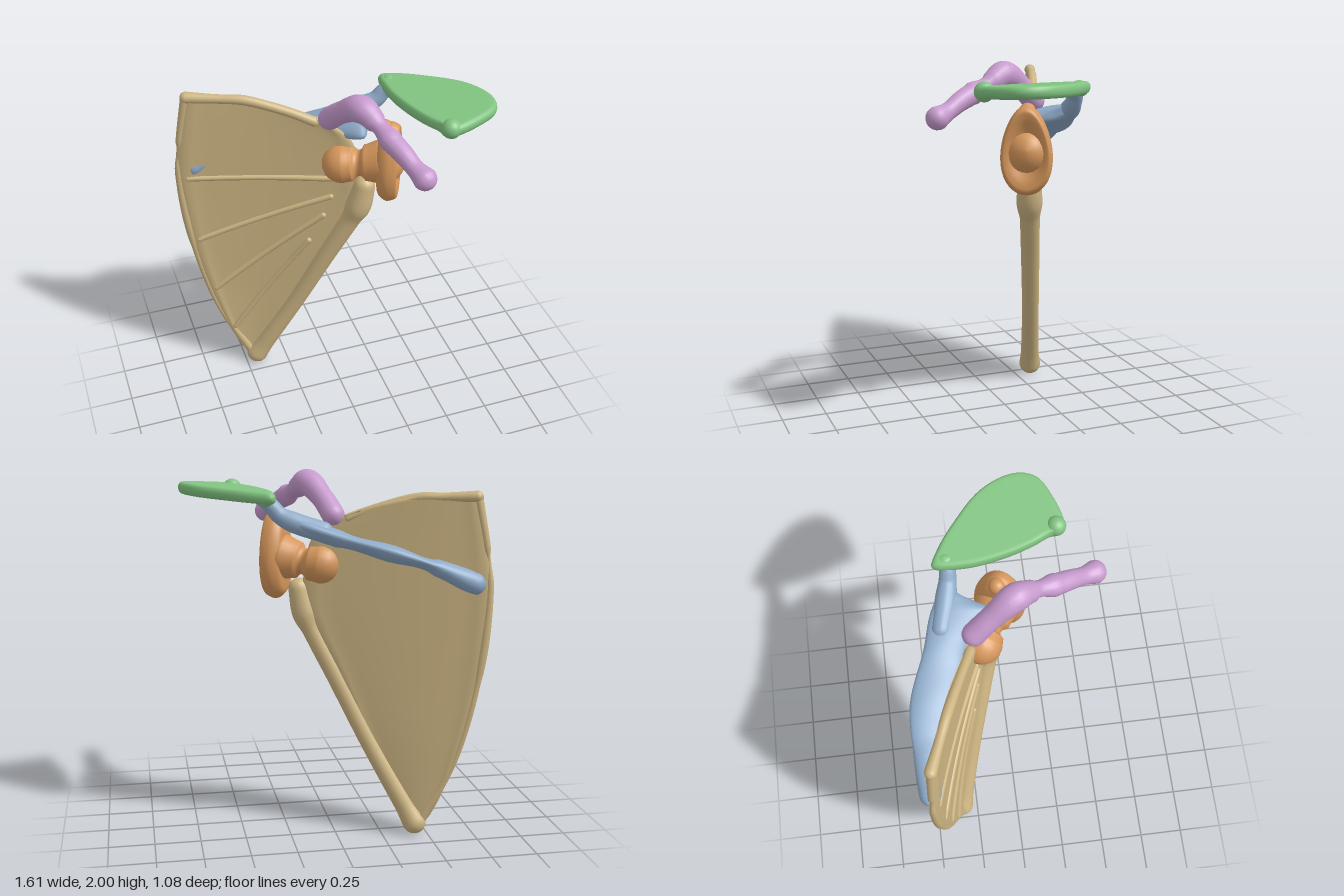
import * as THREE from 'three';

const V = (x, y, z) => new THREE.Vector3(x, y, z);
const curve = (pts, closed = false) =>
  new THREE.CatmullRomCurve3(pts.map(p => V(p[0], p[1], p[2])), closed, 'centripetal');
const TAU = Math.PI * 2;

const mats = {};
for (const [k, color] of Object.entries({ bone: 0xcdb583, spine: 0x8fabc9, socket: 0xd6975c, hook: 0xc79bce, plate: 0x82c482 }))
  mats[k] = new THREE.MeshStandardMaterial({ color });

// Skin over closed rings of equal length, capped at both ends, facing outwards.
function loft(rings) {
  const n = rings[0].length, pos = [], idx = [];
  rings.forEach(r => r.forEach(p => pos.push(p.x, p.y, p.z)));
  const at = (i, j) => i * n + (j % n);
  for (let i = 0; i < rings.length - 1; i++)
    for (let j = 0; j < n; j++)
      idx.push(at(i, j), at(i + 1, j), at(i, j + 1), at(i, j + 1), at(i + 1, j), at(i + 1, j + 1));
  for (const i of [0, rings.length - 1]) {
    const c = rings[i].reduce((s, p) => s.add(p), V(0, 0, 0)).divideScalar(n);
    const k = pos.push(c.x, c.y, c.z) / 3 - 1;
    for (let j = 0; j < n; j++) i ? idx.push(k, at(i, j + 1), at(i, j)) : idx.push(k, at(i, j), at(i, j + 1));
  }
  const p = k => V(pos[3 * k], pos[3 * k + 1], pos[3 * k + 2]);
  let volume = 0;
  for (let i = 0; i < idx.length; i += 3) volume += p(idx[i]).dot(p(idx[i + 1]).cross(p(idx[i + 2])));
  if (volume < 0) idx.reverse();
  const g = new THREE.BufferGeometry();
  g.setAttribute('position', new THREE.Float32BufferAttribute(pos, 3));
  g.setIndex(idx);
  g.computeVertexNormals();
  return g;
}

// Rod along points [x, y, z, radius] with rounded ends.
function rod(pts, steps = 40, sides = 20) {
  const path = curve(pts), radii = curve(pts.map(p => [p[3], 0, 0]));
  const samples = [], cap = 6;
  const end = (u, sign) => {
    const c = path.getPoint(u), t = path.getTangent(u), r = radii.getPoint(u).x;
    for (let k = 1; k <= cap; k++) {
      const a = (k / cap) * Math.PI / 2 * 0.98;
      const s = { c: c.clone().addScaledVector(t, sign * r * Math.sin(a)), t, r: r * Math.cos(a) };
      sign < 0 ? samples.unshift(s) : samples.push(s);
    }
  };
  for (let i = 0; i <= steps; i++) {
    const u = i / steps;
    samples.push({ c: path.getPoint(u), t: path.getTangent(u), r: Math.max(radii.getPoint(u).x, 0.005) });
  }
  end(0, -1);
  end(1, 1);
  let side = V(0.31, 0.2, 0.93);
  return loft(samples.map(({ c, t, r }) => {
    side = side.clone().addScaledVector(t, -side.dot(t)).normalize();
    const up = t.clone().cross(side);
    return Array.from({ length: sides }, (_, j) => {
      const a = j / sides * TAU;
      return c.clone().addScaledVector(side, r * Math.cos(a)).addScaledVector(up, r * Math.sin(a));
    });
  }));
}

const planeZ = x => -0.17 + 0.385 * x;

// Thin triangular blade, slightly hollow in front, thicker along its edges.
function bladeGeometry() {
  const left = curve([[-.46, .05, 0], [-.52, .13, 0], [-.63, .42, 0], [-.745, .88, 0], [-.795, 1.4, 0], [-.775, 1.6, 0], [-.75, 1.75, 0], [-.72, 1.885, 0]]);
  const right = curve([[-.4, .05, 0], [-.36, .13, 0], [-.22, .42, 0], [-.01, .9, 0], [.15, 1.27, 0], [.14, 1.5, 0], [.1, 1.65, 0], [-.02, 1.75, 0]]);
  const rings = [], cols = 24;
  for (let i = 0; i <= 56; i++) {
    const v = i / 56, a = left.getPoint(v), b = right.getPoint(v), ring = [];
    const point = (s, face) => {
      const p = a.clone().lerp(b, s);
      p.y += 0.05 * Math.sin(Math.PI * s) * v ** 8;
      const edge = Math.min(1, Math.min(s, 1 - s) * 9);
      const half = (s <= 0 || s >= 1) ? 0.008 : 0.016 + 0.012 * (1 - edge);
      p.z = planeZ(p.x) - 0.02 * Math.sin(Math.PI * s) * Math.min(1, v * 3) + face * half;
      return p;
    };
    for (let j = 0; j <= cols; j++) ring.push(point(j / cols, 1));
    for (let j = cols; j >= 0; j--) ring.push(point(j / cols, -1));
    rings.push(ring);
  }
  return loft(rings);
}

// Shelf: sections [base, crest, half thickness], from inner border to outer end.
function spineGeometry() {
  const s = [
    [[-.75, 1.42, -.475], [-.75, 1.41, -.505], .025],
    [[-.72, 1.43, -.43], [-.72, 1.41, -.53], .055],
    [[-.66, 1.445, -.415], [-.66, 1.44, -.54], .058],
    [[-.5, 1.50, -.375], [-.5, 1.52, -.54], .045],
    [[-.25, 1.57, -.285], [-.27, 1.60, -.53], .045],
    [[0, 1.64, -.2], [-.01, 1.67, -.43], .045],
    [[.15, 1.69, -.05], [.15, 1.72, -.38], .05],
    [[.2, 1.70, -.13], [.24, 1.75, -.33], .04],
    [[.23, 1.72, -.2], [.28, 1.77, -.3], .02]];
  const base = curve(s.map(q => q[0])), crest = curve(s.map(q => q[1])), thick = curve(s.map(q => [q[2], 0, 0]));
  const rings = [];
  for (let i = 0; i <= 48; i++) {
    const u = i / 48, b = base.getPoint(u), c = crest.getPoint(u);
    const half = c.clone().sub(b).multiplyScalar(0.5), mid = b.add(c).multiplyScalar(0.5);
    const up = V(1, .25, .3).cross(half).normalize().multiplyScalar(thick.getPoint(u).x);
    rings.push(Array.from({ length: 28 }, (_, j) => {
      const a = j / 28 * TAU;
      return mid.clone().addScaledVector(half, Math.cos(a)).addScaledVector(up, Math.sin(a));
    }));
  }
  return loft(rings);
}

// Dished, pear-shaped socket from profile [radius, height] along its outward axis.
function socketGeometry() {
  const profile = curve([[.05, -.06, 0], [.6, -.06, 0], [.88, -.045, 0], [1, 0, 0], [.93, .045, 0], [.75, .05, 0], [.4, .02, 0], [.03, .005, 0]]);
  const out = V(.88, .02, .47).normalize(), side = V(-.47, 0, .88).normalize();
  return loft(profile.getPoints(40).map(q => Array.from({ length: 40 }, (_, j) => {
    const a = j / 40 * TAU, w = 0.138 * (1 - 0.18 * Math.sin(a));
    return V(.285, 1.54, -.01).addScaledVector(out, q.y)
      .addScaledVector(side, q.x * w * Math.cos(a)).add(V(0, q.x * 0.24 * Math.sin(a), 0));
  })));
}

// Flat plate with rounded rim, rising a little outwards.
function plateGeometry() {
  const outline = curve([[.34, 0, -.34], [.42, 0, -.31], [.55, 0, -.22], [.73, 0, -.05], [.80, 0, .13], [.77, 0, .24], [.65, 0, .31],
    [.5, 0, .35], [.45, 0, .33], [.44, 0, .27], [.4, 0, .18], [.35, 0, .02], [.32, 0, -.18]], true).getPoints(78).slice(0, -1);
  const c = V(.54, 0, .06), rings = [];
  for (const k of [.3, .6, .85]) rings.push([k, -1]);
  for (let i = 0; i <= 8; i++) rings.push([.91 + .09 * Math.sin(i / 8 * Math.PI), -Math.cos(i / 8 * Math.PI)]);
  for (const k of [.85, .6, .3]) rings.push([k, 1]);
  return loft(rings.map(([k, h]) => outline.map(p => {
    const q = c.clone().lerp(p, k);
    q.y = 1.868 + 0.07 * (q.x - .33) + h * 0.032;
    return q;
  })));
}

export function createModel() {
  const group = new THREE.Group();
  const add = (name, geometry, mat) => {
    const m = new THREE.Mesh(geometry, mats[mat]);
    m.name = name;
    group.add(m);
  };

  // Blade and its borders
  add('blade', bladeGeometry(), 'bone');
  add('lateralBorder', rod([[-.43, .068, -.342, .066], [-.38, .16, -.32, .055], [-.2, .5, -.245, .05], [-.02, .88, -.165, .053],
    [.1, 1.13, -.11, .056], [.14, 1.23, -.09, .072], [.17, 1.36, -.08, .06]]), 'bone');
  add('superiorBorder', rod([[-.71, 1.875, -.45, .032], [-.55, 1.87, -.39, .025], [-.42, 1.865, -.34, .027], [-.2, 1.80, -.25, .025], [-.08, 1.75, -.2, .028]]), 'bone');
  add('medialBorder', rod([[-.46, .08, -.35, .03], [-.625, .42, -.415, .018], [-.735, .88, -.457, .02], [-.785, 1.4, -.475, .02], [-.765, 1.6, -.468, .02], [-.715, 1.87, -.45, .025]]), 'bone');

  // Raised ridges on the hollow front
  const ridges = [[-.74, 1.37, 0, 1.39], [-.71, .95, 0, 1.27], [-.64, .59, -.04, 1.14], [-.55, .29, -.12, .96]];
  ridges.forEach(([x0, y0, x1, y1], i) => {
    const pts = [0, .25, .5, .75, 1].map(t => {
      const x = x0 + (x1 - x0) * t;
      return [x, y0 + (y1 - y0) * t, planeZ(x) + 0.008 - 0.016 * Math.sin(Math.PI * t), .017];
    });
    add('ridge' + (i + 1), rod(pts, 20, 10), 'bone');
  });

  // Spine shelf and the arm carrying the plate
  add('spine', spineGeometry(), 'spine');
  add('spineArm', rod([[.08, 1.7, -.33, .05], [.22, 1.74, -.29, .055], [.3, 1.78, -.27, .046], [.345, 1.83, -.26, .042], [.4, 1.868, -.22, .035]]), 'spine');

  // Acromion
  add('acromionPlate', plateGeometry(), 'plate');
  add('acromionTip', new THREE.SphereGeometry(.052, 20, 14).translate(.49, 1.882, .305), 'plate');
  add('acromionRoot', new THREE.SphereGeometry(.055, 20, 14).scale(.8, .8, 1).translate(.37, 1.865, -.27), 'plate');

  // Socket and neck
  add('socket', socketGeometry(), 'socket');
  add('socketNeck', rod([[.055, 1.5, -.13, .11], [.11, 1.505, -.105, .1], [.17, 1.515, -.07, .1], [.25, 1.53, -.03, .125]], 24, 24), 'socket');
  add('socketTubercle', new THREE.SphereGeometry(.045, 18, 12).translate(.26, 1.745, -.025), 'socket');

  // Hooked process
  add('hook', rod([[0, 1.77, -.17, .062], [.04, 1.85, -.08, .06], [.1, 1.925, .045, .074], [.145, 1.89, .14, .056],
    [.19, 1.835, .27, .056], [.22, 1.805, .34, .052], [.25, 1.765, .41, .047], [.28, 1.735, .48, .062]]), 'hook');
  return group;
}
